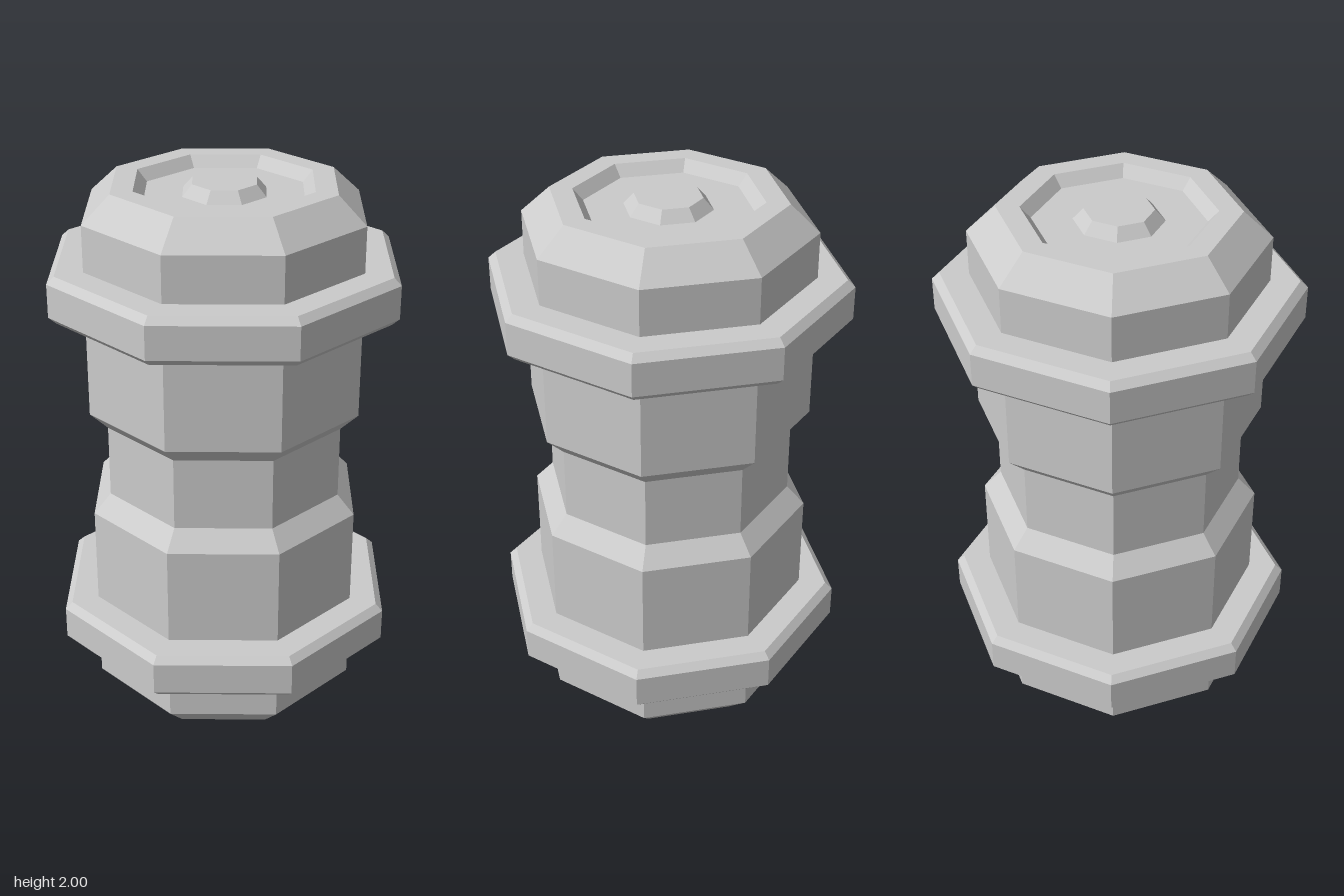
import * as THREE from 'three';

const SIDES = 8;
const CORNER = 1 / Math.cos(Math.PI / SIDES); // flat-to-centre distance -> corner radius

const material = new THREE.MeshStandardMaterial({ color: 0xcccccc, flatShading: true });

// Octagonal solid from a [flat distance, height] profile, listed bottom to top
function octagon(name, profile) {
  const points = profile.map(([r, y]) => new THREE.Vector2(r * CORNER, y));
  const geometry = new THREE.LatheGeometry(points, SIDES, Math.PI / SIDES);
  const mesh = new THREE.Mesh(geometry, material);
  mesh.name = name;
  return mesh;
}

// End face from the centre outwards: raised boss, recessed channel, rim.
// Second value is the depth below the end plane.
const endFace = [
  [0, 0], [0.11, 0], [0.143, 0.04], [0.272, 0.04], [0.305, 0], [0.38, 0],
];

export function createModel() {
  const group = new THREE.Group();
  group.name = 'canister';

  // Body with chamfered ends and a narrow waist
  group.add(octagon('body', [
    ...endFace,
    [0.475, 0.1], [0.475, 0.8],
    [0.415, 0.87], [0.415, 1.14],
    [0.475, 1.205], [0.475, 1.905],
    ...endFace.map(([r, d]) => [r, 2 - d]).reverse(),
  ]));

  // Bevelled collars around the lower and upper body
  for (const [name, y] of [['lowerCollar', 0.35], ['upperCollar', 1.655]]) {
    const collar = octagon(name, [
      [0.45, -0.085], [0.57, -0.085], [0.595, -0.06],
      [0.595, 0.06], [0.57, 0.085], [0.45, 0.085],
    ]);
    collar.position.y = y;
    group.add(collar);
  }

  return group;
}
